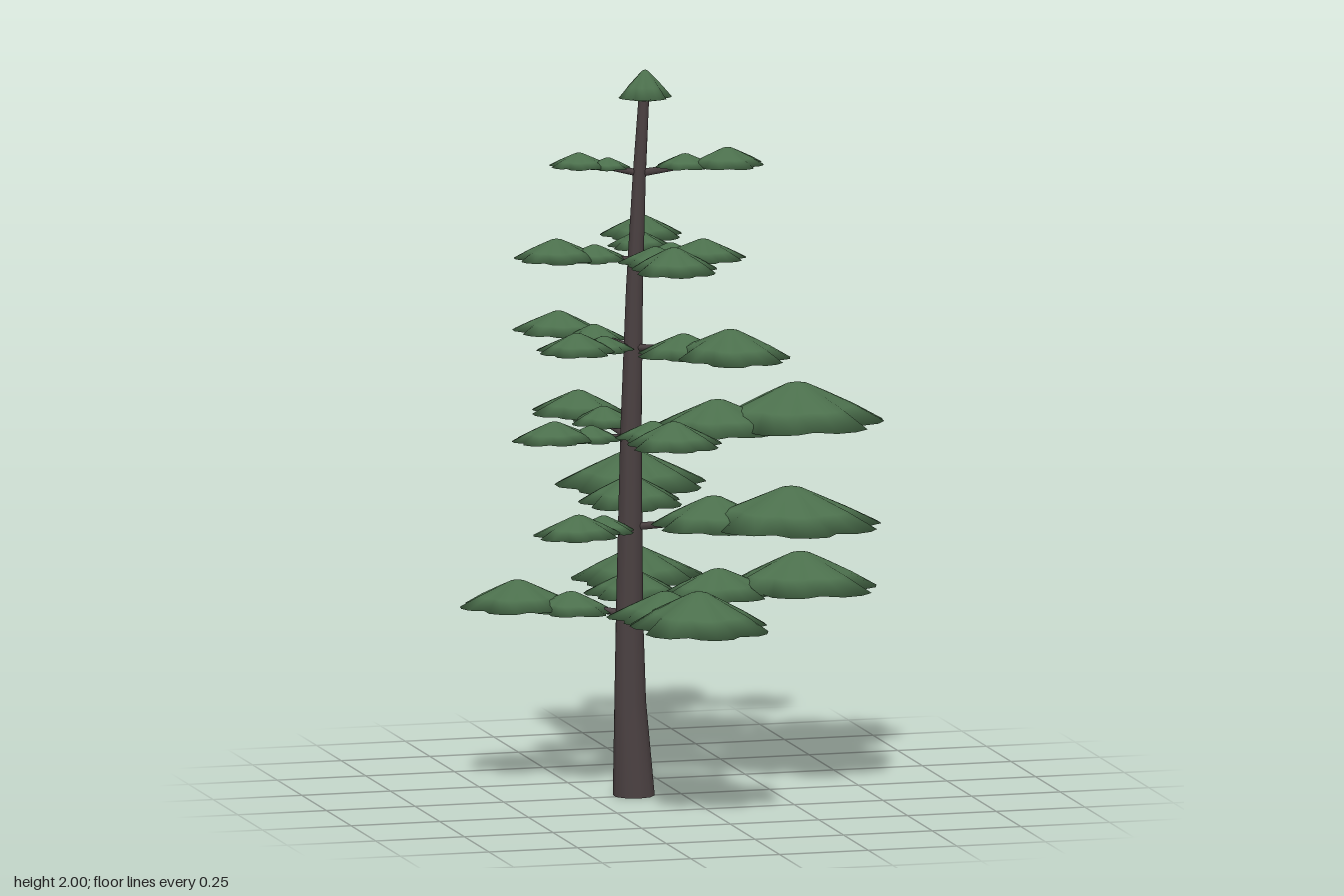
import * as THREE from 'three';
import { toCreasedNormals, mergeVertices } from 'three/addons/utils/BufferGeometryUtils.js';

const bark = new THREE.MeshStandardMaterial({ color: 0x4a4041 });
bark.name = 'dark bark';
const needles = new THREE.MeshStandardMaterial({ color: 0x4b6f4c });
needles.name = 'pine green';

// Trunk centreline: height, x, radius
const TRUNK = [[0, -0.13, 0.057], [0.26, -0.14, 0.043], [0.5, -0.142, 0.037], [1, -0.138, 0.029],
  [1.4, -0.128, 0.023], [1.7, -0.115, 0.018], [1.95, -0.1, 0.014]];
const TRUNK_Z = -0.012;

function trunkX(y) {
  for (let i = 1; i < TRUNK.length; i++) {
    const [y0, x0] = TRUNK[i - 1], [y1, x1] = TRUNK[i];
    if (y <= y1) return x0 + (x1 - x0) * (y - y0) / (y1 - y0);
  }
  return TRUNK[TRUNK.length - 1][1];
}

// Tiers: branch height, then branch tips as [x, z, apex height, pad radius]
const TIERS = [
  [0.5, [[0.35, -0.05, 0.645, 0.19], [-0.07, 0.44, 0.635, 0.19], [-0.41, -0.18, 0.58, 0.14], [-0.01, -0.41, 0.615, 0.17]]],
  [0.74, [[0.25, 0.22, 0.875, 0.21], [-0.01, -0.46, 0.875, 0.19], [-0.33, 0.15, 0.81, 0.11]]],
  [0.985, [[0.33, -0.01, 1.12, 0.215], [-0.1, 0.29, 1.08, 0.125], [-0.36, 0.01, 1.045, 0.1], [-0.2, -0.32, 1.07, 0.12]]],
  [1.235, [[0.08, 0.22, 1.315, 0.15], [-0.27, -0.27, 1.3, 0.11], [-0.31, 0.06, 1.295, 0.1]]],
  [1.475, [[-0.1, 0.29, 1.56, 0.12], [-0.03, -0.29, 1.55, 0.108], [-0.34, -0.04, 1.54, 0.105], [0.03, 0.12, 1.55, 0.1]]],
  [1.715, [[0.12, 0.04, 1.785, 0.092], [-0.27, -0.065, 1.77, 0.072]]],
];

// Needle pad: shallow cone with seven uneven lobes and a slightly bulging underside
function makePad(name, x, apexY, z, radius, height, angle, seed, stretch = 1.16) {
  const profile = [[0, -0.15], [0.5, -0.1], [1, 0], [0.66, 0.4], [0.33, 0.74], [0.12, 0.95], [0, 1]]
    .map(([r, y]) => new THREE.Vector2(r * radius, y * height));
  const geometry = new THREE.LatheGeometry(profile, 28);
  const pos = geometry.attributes.position;
  for (let i = 0; i < pos.count; i++) {
    const px = pos.getX(i), pz = pos.getZ(i);
    const a = Math.atan2(px, pz), r = Math.hypot(px, pz) / radius;
    const lobe = (Math.floor(a * 3.5 / Math.PI) + 7) % 7;
    const size = 0.19 + 0.06 * Math.sin(lobe * 2.4 + seed * 3.7);
    const scallop = 0.83 + size * Math.sqrt(Math.abs(Math.sin(3.5 * a)));
    const wobble = 1 + 0.05 * Math.sin(2 * a + seed * 2.3);
    const s = 1 + (scallop * wobble - 1) * Math.min(1, r);
    pos.setX(i, px * s * stretch);
    pos.setZ(i, pz * s);
  }
  geometry.deleteAttribute('uv');
  geometry.deleteAttribute('normal');
  const smooth = mergeVertices(geometry);
  smooth.computeVertexNormals();
  const pad = new THREE.Mesh(smooth, needles);
  pad.name = name;
  pad.position.set(x, apexY - height, z);
  pad.rotation.y = -angle;
  return pad;
}

function makeTrunk() {
  const rings = TRUNK.map(([y, , r]) => new THREE.Vector2(r, y));
  const geometry = new THREE.LatheGeometry([new THREE.Vector2(0, 0), ...rings, new THREE.Vector2(0, 1.95)], 10);
  const pos = geometry.attributes.position;
  for (let i = 0; i < pos.count; i++) pos.setX(i, pos.getX(i) + trunkX(pos.getY(i)));
  geometry.deleteAttribute('uv');
  geometry.deleteAttribute('normal');
  const trunk = new THREE.Mesh(toCreasedNormals(geometry, 1), bark);
  trunk.name = 'trunk';
  trunk.position.z = TRUNK_Z;
  return trunk;
}

// Tapered limb between two points
function makeLimb(from, to, r0, r1) {
  const dir = to.clone().sub(from);
  const limb = new THREE.Mesh(new THREE.CylinderGeometry(r1, r0, dir.length(), 6), bark);
  limb.name = 'limb';
  limb.position.copy(from).addScaledVector(dir, 0.5);
  limb.quaternion.setFromUnitVectors(new THREE.Vector3(0, 1, 0), dir.normalize());
  return limb;
}

export function createModel() {
  const tree = new THREE.Group();
  tree.name = 'conifer';
  tree.add(makeTrunk());

  let seed = 0.4;
  TIERS.forEach(([y, tips]) => {
    const tier = new THREE.Group();
    tier.name = 'branchTier';
    const root = new THREE.Vector3(trunkX(y), y, TRUNK_Z);
    tips.forEach(([x, z, apexY, radius]) => {
      const height = radius * 0.52;
      const rimY = apexY - height;
      const angle = Math.atan2(z - root.z, x - root.x);
      const branch = new THREE.Group();
      branch.name = 'branch';
      branch.add(makeLimb(root, new THREE.Vector3(x, rimY + height * 0.3, z), 0.011, 0.004));
      branch.add(makePad('outerPad', x, apexY, z, radius, height, angle, seed));
      // Smaller pad halfway along the limb
      const mx = root.x + (x - root.x) * 0.52, mz = root.z + (z - root.z) * 0.52;
      branch.add(makePad('innerPad', mx, rimY + height * 0.66, mz, radius * 0.75, height * 0.75, angle, seed + 1.3));
      seed += 1.7;
      tier.add(branch);
    });
    tree.add(tier);
  });

  // Crown cap
  tree.add(makePad('crown', -0.098, 2, TRUNK_Z, 0.07, 0.075, 0, 2, 1));
  return tree;
}
